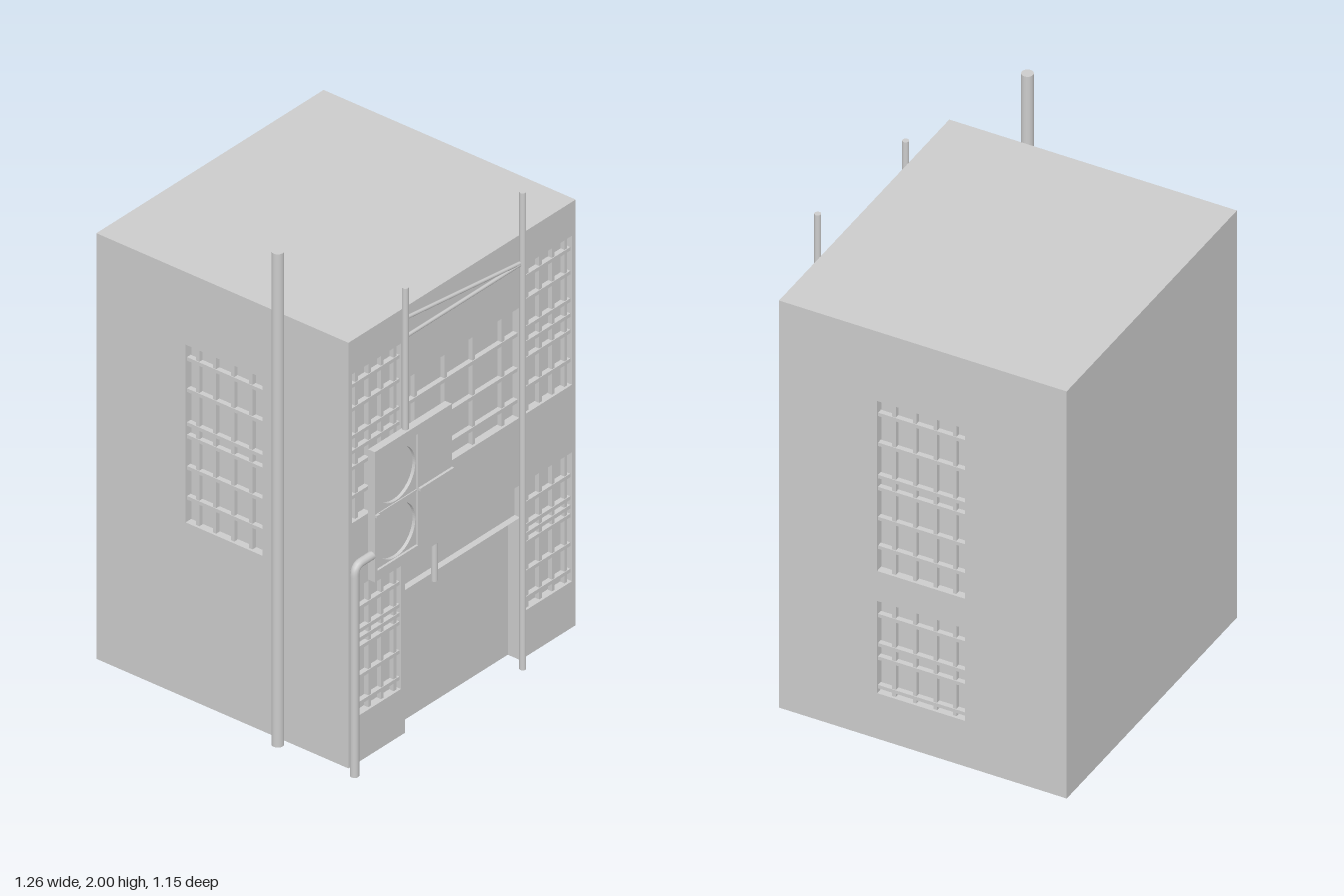
import * as THREE from 'three';

const mat = new THREE.MeshStandardMaterial({ color: 0xcccccc, side: THREE.DoubleSide });
const X0 = -0.58, X1 = 0.63, Y0 = 0.03, Y1 = 1.73, Z0 = -0.58, Z1 = 0.535;
const DEPTH = 0.03;

function add(parent, name, geometry, x = 0, y = 0, z = 0) {
  const mesh = new THREE.Mesh(geometry, mat);
  mesh.name = name;
  mesh.position.set(x, y, z);
  parent.add(mesh);
  return mesh;
}

function rectPath(x0, y0, x1, y1, Type = THREE.Path) {
  return new Type([[x0, y0], [x1, y0], [x1, y1], [x0, y1]].map(p => new THREE.Vector2(...p)));
}

function box(parent, name, x0, x1, y0, y1, z0, z1) {
  return add(parent, name, new THREE.BoxGeometry(x1 - x0, y1 - y0, z1 - z0),
    (x0 + x1) / 2, (y0 + y1) / 2, (z0 + z1) / 2);
}

// Box sunk into a wall, left open at the listed sides (3 = bottom, 4 = front)
function recess(parent, name, [x0, x1, y0, y1], depth, open = [4]) {
  const mesh = box(parent, name, x0, x1, y0, y1, -depth, 0);
  const index = Array.from(mesh.geometry.index.array);
  mesh.geometry.setIndex(index.filter((_, i) => !open.includes(Math.floor(i / 6))));
  mesh.geometry.clearGroups();
}

// Recessed window with glazing bars
function windowUnit(parent, name, { rect, cols, rows }) {
  const group = new THREE.Group();
  group.name = name;
  parent.add(group);
  const [x0, x1, y0, y1] = rect;
  recess(group, 'windowRecess', rect, DEPTH);
  const t = 0.007;
  for (const x of cols) box(group, 'verticalBar', x - t, x + t, y0, y1, -0.028, -0.01);
  for (const y of rows) box(group, 'horizontalBar', x0, x1, y - t, y + t, -0.027, -0.007);
}

// Flat wall with windows; notch is an opening reaching down to the bottom edge
function wall(parent, name, x0, x1, windows, notch) {
  const group = new THREE.Group();
  group.name = name;
  parent.add(group);
  let shape = rectPath(x0, Y0, x1, Y1, THREE.Shape);
  if (notch) {
    const [a, b, top] = notch;
    shape = new THREE.Shape([[x0, Y0], [a, Y0], [a, top], [b, top], [b, Y0], [x1, Y0], [x1, Y1], [x0, Y1]]
      .map(p => new THREE.Vector2(...p)));
  }
  for (const { rect: [a, b, c, d] } of windows) shape.holes.push(rectPath(a, c, b, d));
  add(group, 'wallFace', new THREE.ShapeGeometry(shape));
  for (const w of windows) windowUnit(group, 'window', w);
  return group;
}

function pole(parent, name, x, z, r, y0, y1) {
  return add(parent, name, new THREE.CylinderGeometry(r, r, y1 - y0, 16), x, (y0 + y1) / 2, z);
}

function rod(parent, name, a, b, r) {
  const curve = new THREE.LineCurve3(new THREE.Vector3(...a), new THREE.Vector3(...b));
  add(parent, name, new THREE.TubeGeometry(curve, 1, r, 8));
}

export function createModel() {
  const model = new THREE.Group();
  model.name = 'building';

  // Front wall: two columns of windows, a wide middle window and a sunken entrance
  const upperRows = [1.54, 1.445, 1.335, 1.275, 1.21, 1.095];
  const lowerRows = [0.635, 0.545, 0.51, 0.475, 0.36, 0.255];
  const frontWindows = [{ rect: [-0.275, 0.33, 1.0, 1.44], cols: [-0.21, -0.05, 0.1, 0.255], rows: [1.33, 1.19, 1.065] }];
  for (const x of [-0.56, 0.35]) {
    const cols = [0.035, 0.105, 0.173, 0.24].map(d => x + d);
    frontWindows.push({ rect: [x, x + 0.26, 1.0, 1.595], cols, rows: upperRows });
    frontWindows.push({ rect: [x, x + 0.26, 0.215, 0.73], cols, rows: lowerRows });
  }
  const front = wall(model, 'frontWall', X0, X1, frontWindows, [-0.28, 0.335, 0.73]);
  front.position.z = Z1;
  recess(front, 'entranceRecess', [-0.28, 0.335, Y0, 0.6], 0.055, [3, 4]);
  recess(front, 'entranceLintel', [-0.28, 0.335, 0.6, 0.73], 0.025, [3, 4]);

  // Side walls: windows measured along z
  const upperSide = [1.38, 1.255, 1.12, 1.07, 0.945, 0.825];
  const sideCols = [-0.095, -0.015, 0.065, 0.14];
  const right = wall(model, 'leftWall', -Z1, -Z0, [
    { rect: [-0.155, 0.185, 0.73, 1.44], cols: sideCols, rows: upperSide },
    { rect: [-0.155, 0.185, 0.22, 0.605], cols: sideCols, rows: [0.54, 0.418, 0.362, 0.243] },
  ]);
  right.rotation.y = Math.PI / 2;
  right.position.x = X1;
  const left = wall(model, 'rightWall', Z0, Z1, [
    { rect: [-0.185, 0.155, 0.73, 1.44], cols: sideCols.map(c => -c), rows: upperSide },
  ]);
  left.rotation.y = -Math.PI / 2;
  left.position.x = X0;

  // Back wall and flat roof; the underside stays open
  const back = wall(model, 'backWall', -X1, -X0, []);
  back.rotation.y = Math.PI;
  back.position.z = Z0;
  const roof = add(model, 'roof', new THREE.PlaneGeometry(X1 - X0, Z1 - Z0), (X0 + X1) / 2, Y1, (Z0 + Z1) / 2);
  roof.rotation.x = -Math.PI / 2;

  // Wall-mounted fan unit with a sunken grille panel
  const unit = new THREE.Group();
  unit.name = 'fanUnit';
  model.add(unit);
  const casing = rectPath(-0.475, 0.735, -0.065, 1.255, THREE.Shape);
  casing.holes.push(rectPath(-0.46, 0.775, -0.245, 1.22));
  add(unit, 'casing', new THREE.ExtrudeGeometry(casing, { depth: 0.03, bevelEnabled: false }), 0, 0, Z1);
  const panel = rectPath(-0.46, 0.775, -0.245, 1.22, THREE.Shape);
  for (const y of [0.88, 1.105]) {
    panel.holes.push(new THREE.Path().absarc(-0.353, y, 0.104, 0, Math.PI * 2));
    const fan = add(unit, 'fanDisc', new THREE.CylinderGeometry(0.104, 0.104, 0.005, 32), -0.353, y, Z1 + 0.006);
    fan.rotation.x = Math.PI / 2;
  }
  add(unit, 'grillePanel', new THREE.ExtrudeGeometry(panel, { depth: 0.018, bevelEnabled: false, curveSegments: 32 }), 0, 0, Z1 + 0.003);
  box(unit, 'trimLeft', -0.245, -0.065, 0.994, 1.004, Z1 + 0.03, Z1 + 0.04);
  box(unit, 'trimRight', -0.475, -0.46, 0.994, 1.004, Z1 + 0.03, Z1 + 0.04);
  box(unit, 'panelDivider', -0.46, -0.245, 0.99, 0.996, Z1 + 0.02, Z1 + 0.025);

  // Poles and braces
  pole(model, 'chimneyPipe', -0.613, 0.25, 0.022, Y0, 2.0);
  pole(model, 'longPole', 0.335, 0.546, 0.012, 0, 1.905);
  pole(model, 'shortPole', -0.29, 0.546, 0.012, 1.25, 1.82);
  pole(model, 'drainPipe', -0.14, 0.55, 0.012, 0.58, 0.74);
  rod(model, 'crossBar', [-0.29, 1.618, 0.542], [0.335, 1.618, 0.542], 0.007);
  rod(model, 'diagonalBrace', [-0.29, 1.693, 0.542], [0.335, 1.622, 0.542], 0.007);

  // Bent pipe from the fan unit to the ground
  const bend = new THREE.CurvePath();
  const v = (x, y) => new THREE.Vector3(x, y, 0.55);
  bend.add(new THREE.LineCurve3(v(-0.47, 0.837), v(-0.53, 0.837)));
  bend.add(new THREE.QuadraticBezierCurve3(v(-0.53, 0.837), v(-0.565, 0.837), v(-0.565, 0.8)));
  bend.add(new THREE.LineCurve3(v(-0.565, 0.8), v(-0.565, 0)));
  add(model, 'bentPipe', new THREE.TubeGeometry(bend, 90, 0.016, 12));

  return model;
}
